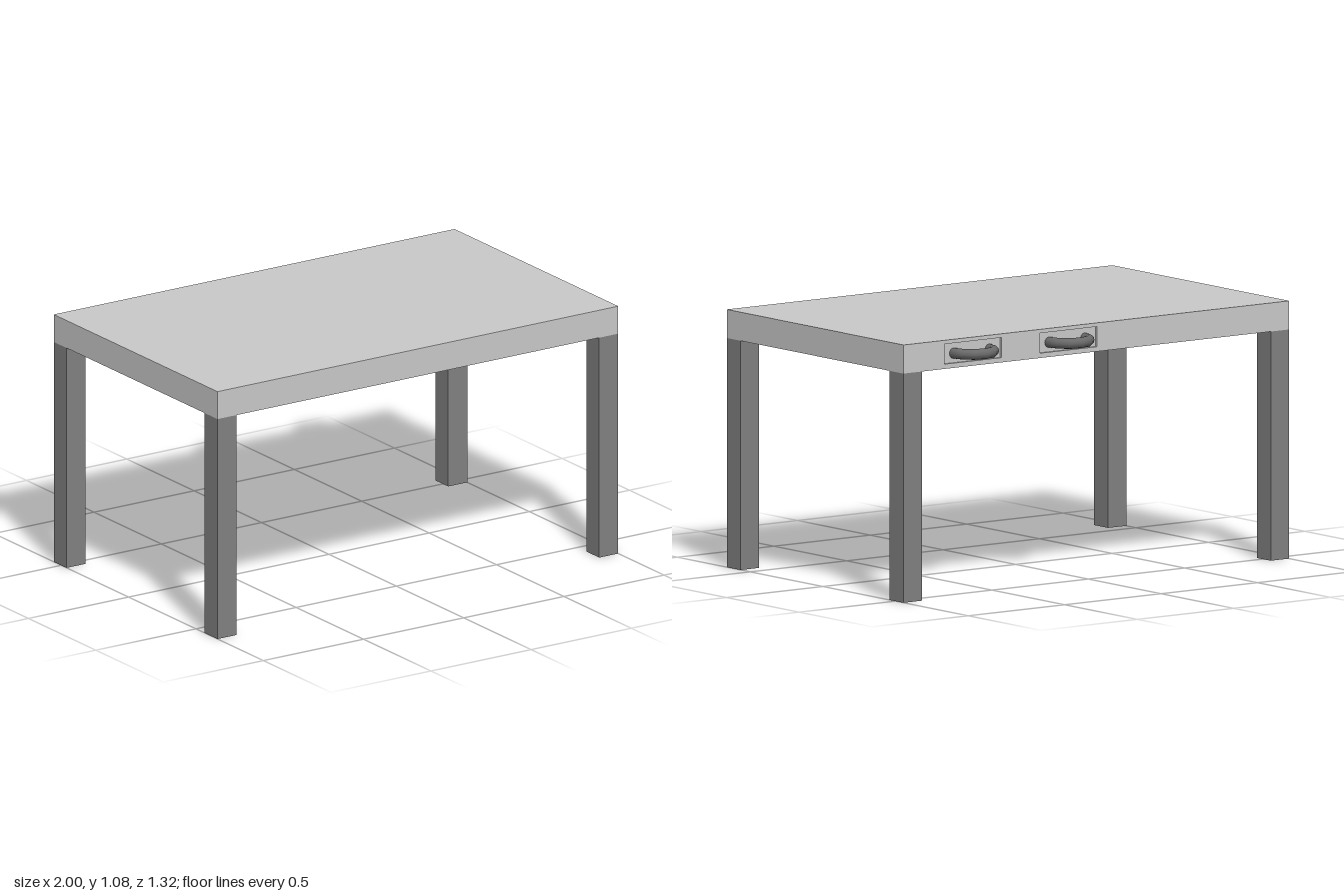
import * as THREE from 'three';

export function createModel() {
  const table = new THREE.Group();
  table.name = 'table';
  const light = new THREE.MeshStandardMaterial({ color: 0xc8c8c8 });
  light.name = 'light grey top';
  const mid = new THREE.MeshStandardMaterial({ color: 0x808080 });
  mid.name = 'mid grey legs';
  const dark = new THREE.MeshStandardMaterial({ color: 0x6a6a6a });
  dark.name = 'dark grey handles';

  const add = (name, geometry, material, x, y, z) => {
    const mesh = new THREE.Mesh(geometry, material);
    mesh.name = name;
    mesh.position.set(x, y, z);
    table.add(mesh);
    return mesh;
  };

  const front = 0.66, back = -0.555, under = 0.96, top = 1.08;
  const recess = 0.01, legSize = 0.095;
  const drawers = [0.145, 0.64];

  // Main slab, ending where the drawer fronts sit
  const depth = front - back - recess;
  add('tableTop', new THREE.BoxGeometry(2, top - under, depth), light,
    0, (top + under) / 2, front - depth / 2);

  // Back rim with a shallow opening for each drawer
  const rim = new THREE.Shape([[-1, under], [1, under], [1, top], [-1, top]]
    .map(([x, y]) => new THREE.Vector2(x, y)));
  for (const x of drawers) {
    rim.holes.push(new THREE.Path([[-0.148, 0.98], [-0.148, 1.064], [0.148, 1.064], [0.148, 0.98]]
      .map(([dx, y]) => new THREE.Vector2(x + dx, y))));
  }
  add('backRim', new THREE.ExtrudeGeometry(rim, { depth: recess, bevelEnabled: false }),
    light, 0, 0, back);

  // Legs flush with the corners
  for (const side of [-1, 1]) {
    for (const [end, z] of [['front', front - legSize / 2], ['back', back + legSize / 2]]) {
      add(end + (side > 0 ? 'Left' : 'Right') + 'Leg',
        new THREE.BoxGeometry(legSize, under, legSize), mid,
        side * (1 - legSize / 2), under / 2, z);
    }
  }

  // Half-ring handles
  for (const x of drawers) {
    const handle = add('drawerHandle', new THREE.TorusGeometry(0.0925, 0.0225, 12, 6, Math.PI),
      dark, x, 1.02, back + recess);
    handle.rotation.x = -Math.PI / 2;
  }
  return table;
}
